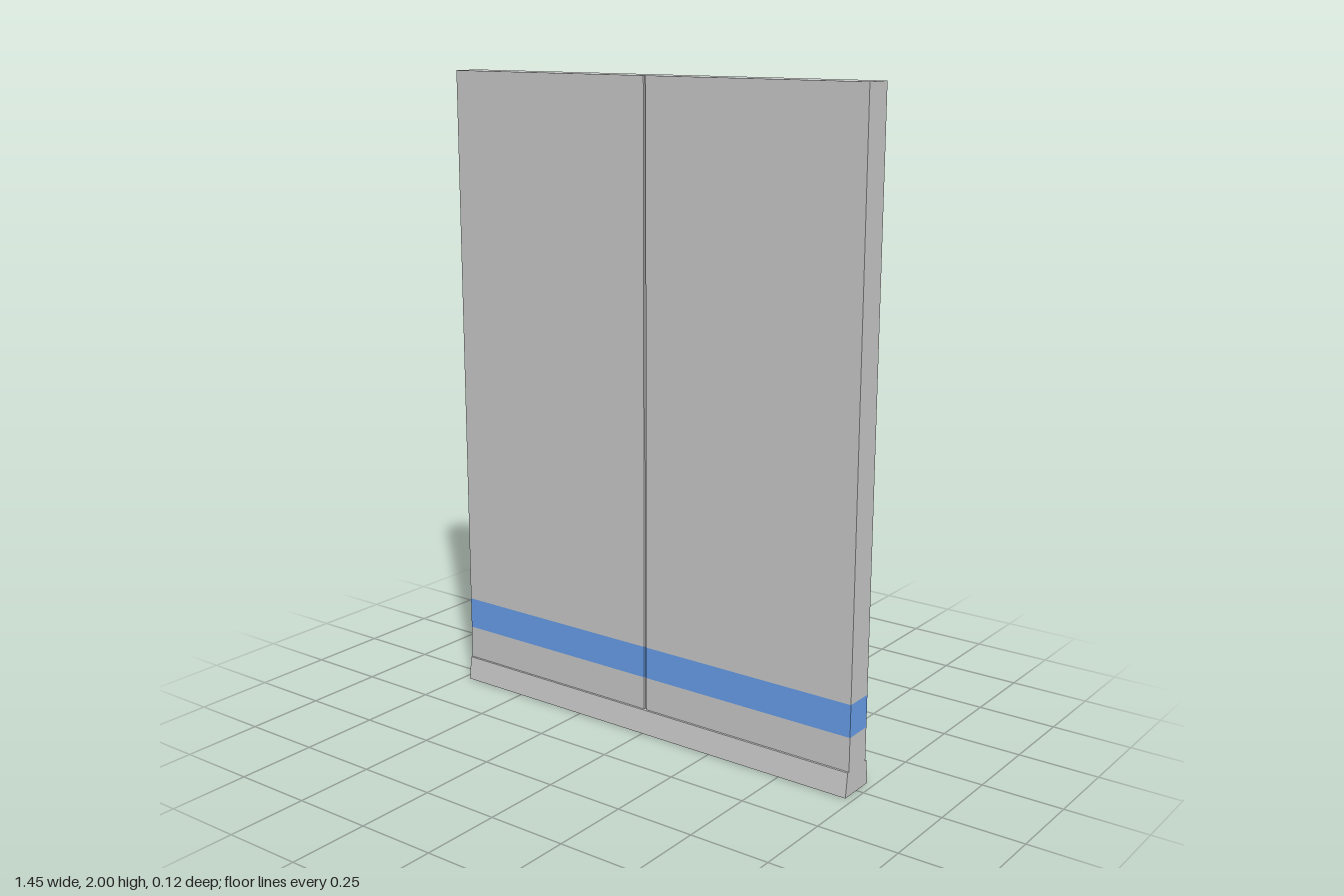
import * as THREE from 'three';

const HALF_WIDTH = 0.727;
const HALF_DEPTH = 0.046;
const GROOVE_HALF = 0.004;
const GROOVE_DEPTH = 0.007;
const BASE_TOP = 0.075;

const grey = new THREE.MeshStandardMaterial({ color: 0xcccccc });
const blue = new THREE.MeshStandardMaterial({ color: 0x6aa1ed });

// Plan outline of the wall, with a narrow joint groove on both faces
function wallOutline() {
  const w = HALF_WIDTH, d = HALF_DEPTH, g = GROOVE_HALF, i = d - GROOVE_DEPTH;
  return new THREE.Shape([
    [-w, -d], [-g, -d], [-g, -i], [g, -i], [g, -d], [w, -d],
    [w, d], [g, d], [g, i], [-g, i], [-g, d], [-w, d],
  ].map(([x, z]) => new THREE.Vector2(x, z)));
}

// One horizontal course of the wall from y0 to y1
function course(name, y0, y1, material) {
  const geometry = new THREE.ExtrudeGeometry(wallOutline(), { depth: y1 - y0, bevelEnabled: false });
  geometry.rotateX(-Math.PI / 2).translate(0, y0, 0);
  const mesh = new THREE.Mesh(geometry, material);
  mesh.name = name;
  return mesh;
}

// Skirting with sloping faces along both sides of the foot
function skirting() {
  const profile = new THREE.Shape([
    [-0.062, 0], [0.062, 0], [0.053, BASE_TOP], [-0.053, BASE_TOP],
  ].map(([z, y]) => new THREE.Vector2(z, y)));
  const geometry = new THREE.ExtrudeGeometry(profile, { depth: 2 * HALF_WIDTH, bevelEnabled: false });
  geometry.translate(0, 0, -HALF_WIDTH).rotateY(Math.PI / 2);
  const mesh = new THREE.Mesh(geometry, grey);
  mesh.name = 'skirting';
  return mesh;
}

export function createModel() {
  const group = new THREE.Group();
  group.name = 'wallPanel';
  group.add(
    skirting(),
    course('lowerWall', BASE_TOP, 0.18, grey),
    course('colourStripe', 0.18, 0.28, blue),
    course('upperWall', 0.28, 2, grey),
  );
  return group;
}
